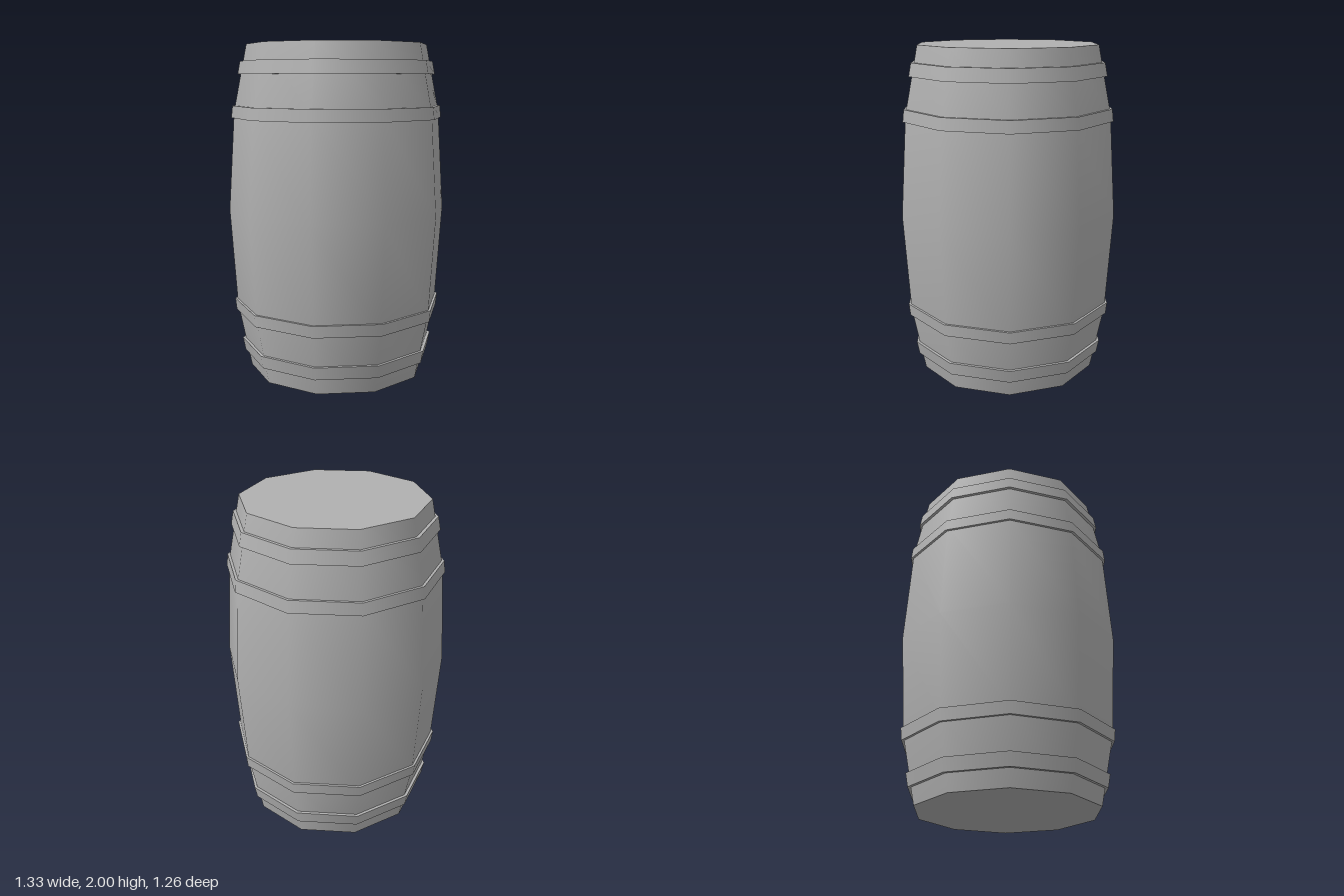
import * as THREE from 'three';
import { mergeGeometries } from 'three/addons/utils/BufferGeometryUtils.js';

const SIDES = 10;

// Smooth ten-sided surface of revolution with a corner on the x axis
function lathe(points) {
  const profile = points.map(([r, y]) => new THREE.Vector2(r, y));
  return new THREE.LatheGeometry(profile, SIDES, Math.PI / 2);
}

// Band whose rims and outer face meet at sharp edges
function hoopGeometry([y0, outer0, inner0], [y1, outer1, inner1]) {
  const loop = [[inner0, y0], [outer0, y0], [outer1, y1], [inner1, y1]];
  return mergeGeometries([0, 1, 2].map((i) => lathe([loop[i], loop[i + 1]])));
}

export function createModel() {
  const model = new THREE.Group();
  model.name = 'barrel';
  const grey = new THREE.MeshStandardMaterial({ color: 0xb0b0b0 });
  grey.name = 'grey';

  const add = (name, geometry) => {
    const mesh = new THREE.Mesh(geometry, grey);
    mesh.name = name;
    model.add(mesh);
    return mesh;
  };

  // Bulging staves
  add('staves', lathe([[0.546, 0], [0.626, 0.4], [0.665, 1], [0.626, 1.6], [0.546, 2]]));

  // Flat ends
  const end = new THREE.CircleGeometry(0.546, SIDES);
  add('lid', end.clone().rotateX(-Math.PI / 2).translate(0, 2, 0));
  add('base', end.clone().rotateX(Math.PI / 2));

  // Hoops as [y, outer radius, inner radius] at both rims, mirrored about mid height
  const hoops = {
    EndHoop: [[0.1, 0.585, 0.56], [0.178, 0.6, 0.575]],
    InnerHoop: [[0.365, 0.635, 0.61], [0.437, 0.643, 0.62]],
  };
  for (const [name, [low, high]] of Object.entries(hoops)) {
    const flip = ([y, outer, inner]) => [2 - y, outer, inner];
    add('lower' + name, hoopGeometry(low, high));
    add('upper' + name, hoopGeometry(flip(high), flip(low)));
  }
  return model;
}
